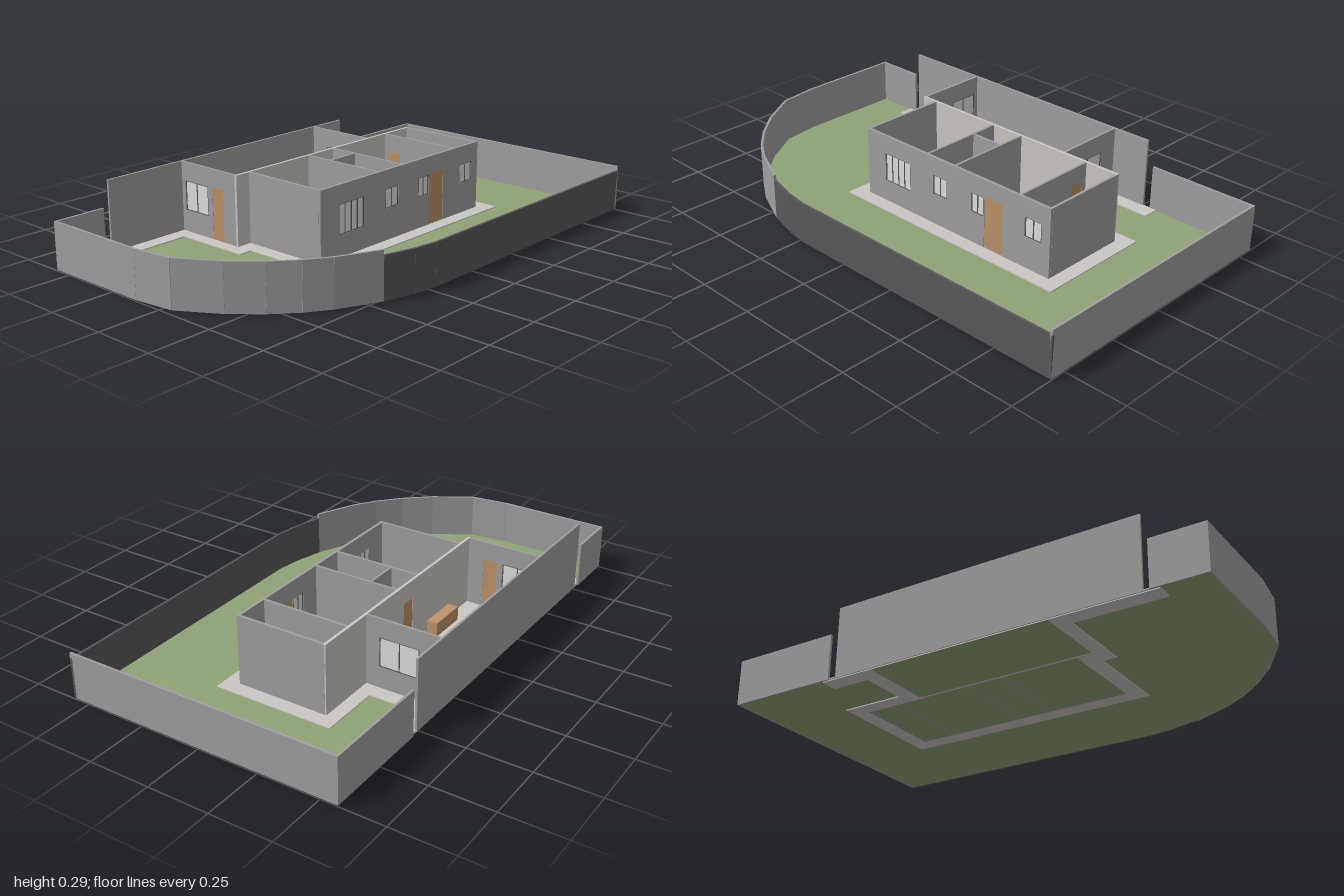
import * as THREE from 'three';

const mat = (name, color) => {
  const m = new THREE.MeshStandardMaterial({ color });
  m.name = name;
  return m;
};

export function createModel() {
  const root = new THREE.Group();
  root.name = 'walledHouse';
  const grey = mat('greyRender', 0x9e9f9e);
  const dark = mat('darkGrey', 0x59585a);
  const light = mat('lightPlaster', 0xcbc7c3);
  const grass = mat('grass', 0x8fa277);
  const wood = mat('wood', 0xbd9268);
  const white = mat('whitePane', 0xdededc);
  const sofaGrey = mat('sofaGrey', 0x9fa1a4);

  // Box given by its x, y and z ranges
  const box = (name, m, x0, x1, y0, y1, z0, z1, parent = root) => {
    const b = new THREE.Mesh(new THREE.BoxGeometry(x1 - x0, y1 - y0, z1 - z0), m);
    b.position.set((x0 + x1) / 2, (y0 + y1) / 2, (z0 + z1) / 2);
    b.name = name;
    parent.add(b);
    return b;
  };

  const outline = (pts, Type = THREE.Shape) => new Type(pts.map(p => new THREE.Vector2(p[0], p[1])));

  // Flat slab from a plan outline in x and z
  const slab = (name, m, pts, y0, y1, hole) => {
    const shape = outline(pts);
    if (hole) shape.holes.push(outline(hole, THREE.Path));
    const g = new THREE.ExtrudeGeometry(shape, { depth: y1 - y0, bevelEnabled: false });
    g.rotateX(Math.PI / 2).translate(0, y1, 0);
    const s = new THREE.Mesh(g, m);
    s.name = name;
    root.add(s);
  };

  // Upright wall between two plan points; openings are [kind, start, end, bottom, top, panes]
  const wall = (name, m, [x0, z0], [x1, z1], h, t = 0.011, openings = []) => {
    const len = Math.hypot(x1 - x0, z1 - z0);
    const group = new THREE.Group();
    group.name = name;
    group.position.set(x0, 0, z0);
    group.rotation.y = -Math.atan2(z1 - z0, x1 - x0);
    const shape = outline([[0, 0.004], [len, 0.004], [len, h], [0, h]]);
    for (const [kind, a, b, low, top, panes = 2] of openings) {
      shape.holes.push(outline([[a, low], [a, top], [b, top], [b, low]], THREE.Path));
      if (kind === 'door') {
        box('door', wood, a, b, low, top, -0.004, 0.004, group);
        continue;
      }
      box('windowPane', white, a, b, low, top, -0.002, 0.002, group);
      for (let i = 0; i <= panes; i++) {
        const s = a + 0.002 + (b - a - 0.004) * i / panes;
        box('windowBar', dark, s - 0.002, s + 0.002, low, top, -0.004, 0.004, group);
      }
      for (const y of [low, top - 0.003]) box('windowRail', dark, a, b, y, y + 0.003, -0.004, 0.004, group);
    }
    const g = new THREE.ExtrudeGeometry(shape, { depth: t, bevelEnabled: false });
    g.translate(0, 0, -t / 2);
    const body = new THREE.Mesh(g, m);
    body.name = name + 'Body';
    group.add(body);
    root.add(group);
  };

  // Ground: lawn, paving around the house and indoor floor
  const curve = [[-0.995, -0.12], [-0.975, 0.04], [-0.88, 0.195], [-0.79, 0.3], [-0.7, 0.38],
    [-0.61, 0.44], [-0.445, 0.515], [-0.32, 0.548], [-0.22, 0.562]];
  slab('lawn', grass, [[-0.995, -0.565], ...curve, [0.995, 0.562], [0.995, -0.565]], 0.004, 0.008);
  const house = [[-0.4, -0.56], [-0.4, -0.25], [-0.335, -0.25], [-0.335, 0.12], [0.605, 0.12],
    [0.605, -0.25], [0.35, -0.25], [0.35, -0.56]];
  slab('paving', light, [[-0.82, -0.562], [-0.82, -0.495], [-0.457, -0.495], [-0.457, -0.18], [-0.4, -0.18],
    [-0.4, 0.185], [0.67, 0.185], [0.67, -0.31], [0.417, -0.31], [0.417, -0.495], [0.575, -0.495],
    [0.575, -0.562]], 0, 0.012, house.map(([x, z]) => [x, z === -0.56 ? -0.561 : z]));
  slab('floor', light, house, 0.006, 0.012);

  // Boundary walls, with gate gaps in the back
  const low = 0.19, frontLow = 0.17, high = 0.295;
  const bound = [[-0.995, -0.565], ...curve, [1, 0.562]];
  for (let i = 0; i + 1 < bound.length; i++) {
    const isDark = i >= 7;
    wall(isDark ? 'frontBoundaryWall' : 'sideBoundaryWall', isDark ? dark : grey,
      bound[i], bound[i + 1], isDark ? frontLow : low, 0.01);
  }
  wall('leftBoundaryWall', grey, [0.995, -0.57], [0.995, 0.567], low, 0.01);
  wall('backGateWall', grey, [-1, -0.565], [-0.785, -0.565], low, 0.01);
  wall('backGateWall', grey, [0.545, -0.565], [1, -0.565], low, 0.01);
  wall('highBackWall', grey, [-0.76, -0.561], [0.515, -0.561], high, 0.009);

  // Outer house walls
  wall('houseFrontWall', grey, [-0.34, 0.12], [0.61, 0.12], high, 0.012, [
    ['window', 0.1, 0.24, 0.1, 0.22, 4],
    ['window', 0.365, 0.44, 0.14, 0.22, 2],
    ['window', 0.565, 0.628, 0.14, 0.22, 2],
    ['door', 0.632, 0.722, 0.013, 0.225],
    ['window', 0.83, 0.91, 0.14, 0.22, 2],
  ]);
  wall('houseRightWall', grey, [-0.335, -0.245], [-0.335, 0.115], high);
  wall('houseLeftWall', grey, [0.605, -0.25], [0.605, 0.115], high);
  wall('houseMiddleWall', light, [-0.405, -0.25], [0.61, -0.25], high, 0.011, [
    ['door', 0.44, 0.505, 0.013, 0.22],
  ]);
  wall('livingRoomRightWall', grey, [-0.4, -0.557], [-0.4, -0.255], high, 0.01, [
    ['window', 0.02, 0.15, 0.1, 0.22, 2],
    ['door', 0.175, 0.235, 0.013, 0.22],
  ]);
  wall('livingRoomLeftWall', grey, [0.35, -0.557], [0.35, -0.255], high, 0.01, [
    ['window', 0.082, 0.247, 0.1, 0.22, 2],
  ]);

  // Inner partitions
  wall('partition', grey, [-0.01, -0.245], [-0.01, 0.115], high, 0.01);
  wall('partition', grey, [0.135, -0.245], [0.135, 0.115], high, 0.01);
  wall('partition', grey, [0.46, -0.245], [0.46, 0.115], high, 0.01, [['door', 0.02, 0.085, 0.013, 0.22]]);
  wall('bathroomPartition', grey, [-0.005, -0.13], [0.13, -0.13], high, 0.01);

  // Beds
  for (const [x0, x1, z0, z1] of [[-0.32, -0.125, -0.142, 0], [0.25, 0.45, -0.145, 0]]) {
    box('bedFrame', wood, x0, x1, 0.012, 0.04, z0, z1);
    box('mattress', light, x0 + 0.004, x1 - 0.004, 0.04, 0.058, z0 + 0.004, z1 - 0.004);
  }

  // Sofa, sideboard, fridge, kitchen counter and bathroom fittings
  box('sofaSeat', sofaGrey, -0.265, -0.05, 0.012, 0.05, -0.525, -0.46);
  box('sofaBack', sofaGrey, -0.265, -0.05, 0.012, 0.09, -0.55, -0.525);
  box('sideboard', wood, -0.24, -0.075, 0.012, 0.07, -0.3, -0.256);
  box('cabinet', white, 0.175, 0.25, 0.012, 0.08, -0.325, -0.256);
  box('kitchenCounter', dark, 0.09, 0.33, 0.012, 0.1, -0.55, -0.49);
  box('sink', white, 0.16, 0.207, 0.1, 0.103, -0.54, -0.5);
  box('bathroomFitting', dark, 0.075, 0.122, 0.012, 0.06, -0.025, 0.032);
  box('bathroomFitting', dark, 0.467, 0.517, 0.012, 0.06, -0.1, -0.037);

  return root;
}
